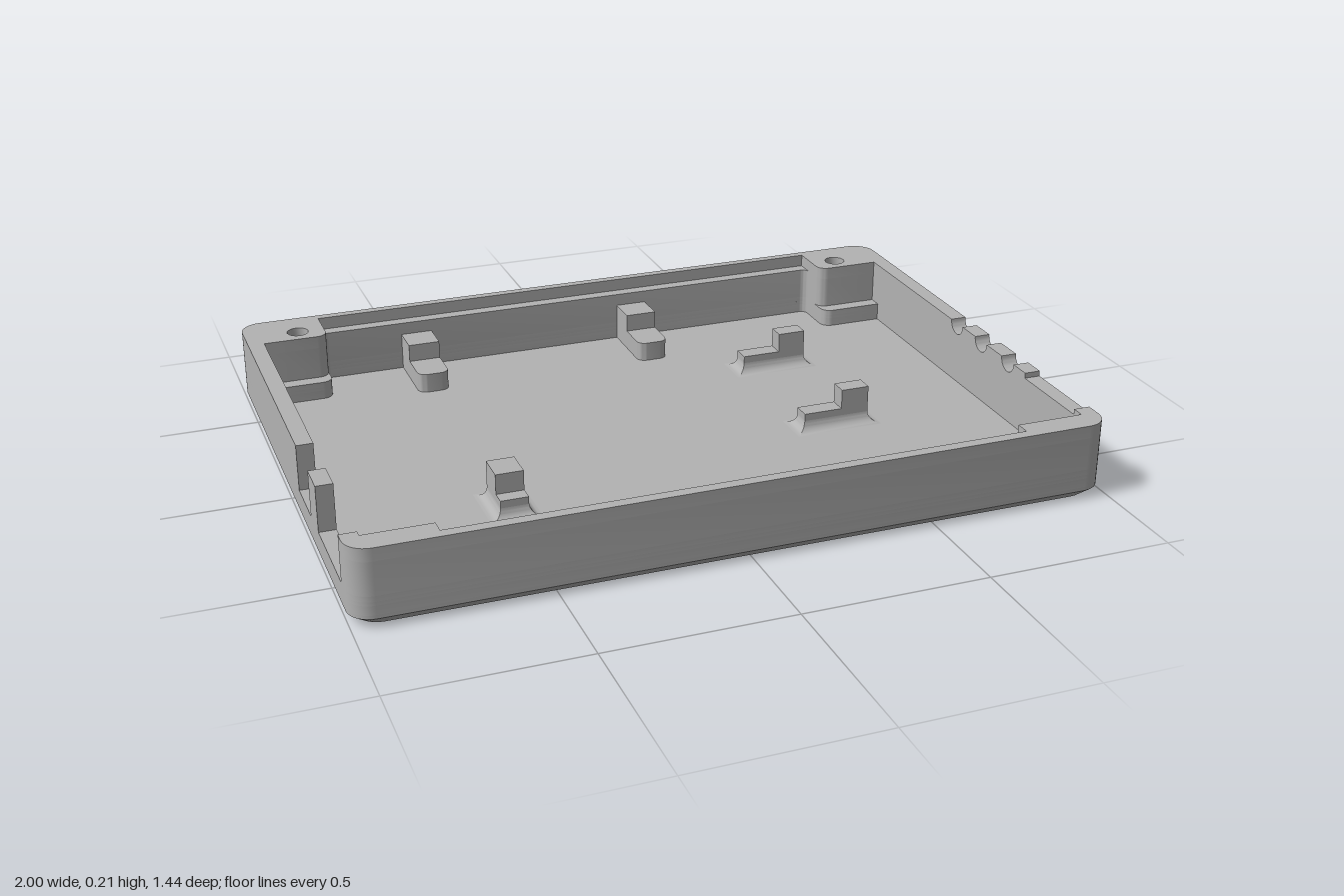
import * as THREE from 'three';
import { toCreasedNormals } from 'three/addons/utils/BufferGeometryUtils.js';

const FLOOR = 0.035, LEDGE = 0.085, REBATE = 0.175, TOP = 0.21;
const R = 0.06; // outer corner radius

export function createModel() {
  const model = new THREE.Group();
  const grey = new THREE.MeshStandardMaterial({ color: 0xb3b3b3 });
  grey.name = 'grey plastic';

  function add(name, geometry) {
    const mesh = new THREE.Mesh(geometry, grey);
    mesh.name = name;
    model.add(mesh);
    return mesh;
  }

  // Closed outline through [x, z, cornerRadius] points
  function outline(points, path = new THREE.Shape()) {
    const n = points.length;
    points.forEach(([x, z, r = 0], i) => {
      const toward = (q, d) => {
        const len = Math.hypot(q[0] - x, q[1] - z);
        return [x + (q[0] - x) * d / len, z + (q[1] - z) * d / len];
      };
      const prev = points[(i + n - 1) % n], next = points[(i + 1) % n];
      const a = toward(prev, r), b = toward(next, r);
      if (i === 0) path.moveTo(...a); else path.lineTo(...a);
      if (r) path.bezierCurveTo(...toward(prev, r * 0.45), ...toward(next, r * 0.45), ...b);
    });
    path.closePath();
    return path;
  }

  // Horizontal slab between two heights
  function slab(shape, y0, y1) {
    const g = new THREE.ExtrudeGeometry(shape, { depth: y1 - y0, bevelEnabled: false, curveSegments: 8 });
    g.rotateX(Math.PI / 2).translate(0, y1, 0);
    return toCreasedNormals(g, 0.6);
  }

  function box(name, x0, x1, y0, y1, z0, z1) {
    add(name, new THREE.BoxGeometry(x1 - x0, y1 - y0, z1 - z0)
      .translate((x0 + x1) / 2, (y0 + y1) / 2, (z0 + z1) / 2));
  }

  // Screw positions: two in the back corners, two in the front ledge
  const backScrews = [[-0.85, -0.615], [0.835, -0.615]];
  const screws = [...backScrews, [-0.65, 0.605], [0.625, 0.605]];
  const hexHole = ([x, z]) => outline(Array.from({ length: 6 }, (_, i) => {
    const a = i * Math.PI / 3;
    return [x + 0.042 * Math.cos(a), z + 0.042 * Math.sin(a)];
  }), new THREE.Path());
  const roundHole = ([x, z]) => new THREE.Path().absarc(x, z, 0.03, 0, Math.PI * 2);

  const plan = () => outline([[-1, -0.72, R], [0.99, -0.72, R], [0.99, 0.72, R], [-1, 0.72, R]]);
  const withHoles = (shape, ...holes) => { shape.holes.push(...holes); return shape; };

  // Bottom with chamfered rim and hexagonal nut pockets
  const chamfer = slab(withHoles(plan(), ...screws.map(hexHole)), 0, 0.025);
  const p = chamfer.attributes.position;
  for (let i = 0; i < p.count; i++) {
    const x = p.getX(i), z = p.getZ(i);
    if (p.getY(i) < 0.01 && (Math.abs(x) > 0.91 || Math.abs(z) > 0.68)) {
      p.setX(i, -0.005 + (x + 0.005) * 0.97 / 0.995);
      p.setZ(i, z * 0.695 / 0.72);
    }
  }
  chamfer.computeVertexNormals();
  add('chamferedBottom', toCreasedNormals(chamfer, 0.5));
  add('floor', slab(withHoles(plan(), ...screws.map(hexHole)), 0.025, FLOOR));

  // Low rim: front ledge and small steps at the back corners
  const floorOpening = () => outline([
    [-0.955, -0.52], [-0.775, -0.52, 0.03], [-0.775, -0.66, 0.02], [0.76, -0.66, 0.02],
    [0.76, -0.52, 0.03], [0.945, -0.52], [0.945, 0.5, 0.02], [-0.955, 0.5, 0.02],
  ], new THREE.Path());
  add('ledgeLower', slab(withHoles(plan(), floorOpening(), ...screws.map(hexHole)), FLOOR, 0.06));
  add('ledgeMiddle', slab(withHoles(plan(), floorOpening()), 0.06, 0.07));
  add('ledgeUpper', slab(withHoles(plan(), floorOpening(), ...screws.map(roundHole)), 0.07, LEDGE));

  // Main walls, open at the left where the ports are
  const walls = outline([
    [-1, 0.13], [-1, -0.72, R], [0.99, -0.72, R], [0.99, 0.72, R], [-1, 0.72, R], [-1, 0.63],
    [-0.955, 0.63], [-0.955, 0.65], [0.945, 0.65], [0.945, -0.56], [0.76, -0.56, 0.03],
    [0.76, -0.66, 0.02], [-0.775, -0.66, 0.02], [-0.775, -0.56, 0.03], [-0.955, -0.56], [-0.955, 0.13],
  ]);
  add('walls', slab(withHoles(walls, ...backScrews.map(roundHole)), LEDGE, REBATE));
  box('portPost', -1, -0.955, LEDGE, TOP, 0.28, 0.37);

  // Thinner wall tops at the back and front
  const backTop = outline([
    [-1, 0.13], [-1, -0.72, R], [0.99, -0.72, R], [0.99, -0.1], [0.945, -0.1], [0.945, -0.56],
    [0.76, -0.56, 0.03], [0.76, -0.695], [-0.775, -0.695], [-0.775, -0.56, 0.03], [-0.955, -0.56], [-0.955, 0.13],
  ]);
  add('backWallTop', slab(withHoles(backTop, ...backScrews.map(roundHole)), REBATE, TOP));
  add('frontWallTop', slab(outline([
    [0.99, 0.62], [0.99, 0.72, R], [-1, 0.72, R], [-1, 0.63], [-0.955, 0.63], [-0.955, 0.65],
    [-0.775, 0.65], [-0.775, 0.69], [0.76, 0.69], [0.76, 0.65], [0.945, 0.65], [0.945, 0.62],
  ]), REBATE, TOP));

  // Right wall top with three round notches and a shallow cut (shape x is -z)
  const side = new THREE.Shape();
  side.moveTo(-0.62, REBATE).lineTo(0.1, REBATE).lineTo(0.1, TOP);
  for (const c of [0.02, -0.12, -0.27]) {
    side.lineTo(c + 0.033, TOP);
    side.absarc(c, TOP, 0.033, 0, -Math.PI, true);
  }
  side.lineTo(-0.365, TOP).lineTo(-0.365, 0.195).lineTo(-0.615, 0.195).lineTo(-0.615, TOP).lineTo(-0.62, TOP);
  side.closePath();
  const sideGeometry = new THREE.ExtrudeGeometry(side, { depth: 0.045, bevelEnabled: false, curveSegments: 10 });
  add('rightWallTop', toCreasedNormals(sideGeometry.rotateY(Math.PI / 2).translate(0.945, 0, 0), 0.6));

  // Raised marks on the right side: a cross and a bar
  box('crossUpright', 0.985, 1, 0.055, 0.165, 0.538, 0.572);
  box('crossArm', 0.985, 1, 0.092, 0.127, 0.507, 0.603);
  box('bar', 0.985, 1, 0.092, 0.127, 0.385, 0.48);

  // Stepped brackets on the back wall
  for (const x of [-0.495, 0.175]) {
    const step = (z, r) => outline([[x - 0.045, -0.67], [x + 0.045, -0.67], [x + 0.045, z, r], [x - 0.045, z, r]]);
    add('bracketStep', slab(step(-0.46, 0.025), 0.03, 0.09));
    add('bracketTop', slab(step(-0.57, 0), 0.09, 0.14));
  }

  // Concave flared foot around a rectangular support
  function foot(x0, x1, z0, z1) {
    const rings = [];
    for (let i = 0; i <= 6; i++) {
      const t = i / 6 * Math.PI / 2, o = 0.03 * (1 - Math.sin(t));
      const y = FLOOR + 0.03 * (1 - Math.cos(t));
      rings.push([[x0 - o, y, z1 + o], [x1 + o, y, z1 + o], [x1 + o, y, z0 - o], [x0 - o, y, z0 - o]]);
    }
    const v = [];
    for (let i = 0; i < 6; i++) {
      for (let k = 0; k < 4; k++) {
        const a = rings[i][k], b = rings[i][(k + 1) % 4];
        const c = rings[i + 1][(k + 1) % 4], d = rings[i + 1][k];
        v.push(...a, ...b, ...c, ...a, ...c, ...d);
      }
    }
    const g = new THREE.BufferGeometry();
    g.setAttribute('position', new THREE.Float32BufferAttribute(v, 3));
    g.computeVertexNormals();
    add('supportFoot', toCreasedNormals(g, 0.5));
  }

  // Board supports: a low seat with a taller stop
  for (const z of [-0.3, 0.13]) {
    foot(0.39, 0.58, z - 0.025, z + 0.025);
    box('supportSeat', 0.39, 0.5, 0.03, 0.085, z - 0.025, z + 0.025);
    box('supportStop', 0.5, 0.58, 0.03, 0.14, z - 0.025, z + 0.025);
  }
  foot(-0.54, -0.465, 0.24, 0.365);
  box('supportStop', -0.54, -0.465, 0.03, 0.14, 0.24, 0.325);
  box('supportSeat', -0.54, -0.465, 0.03, 0.085, 0.325, 0.365);

  return model;
}
